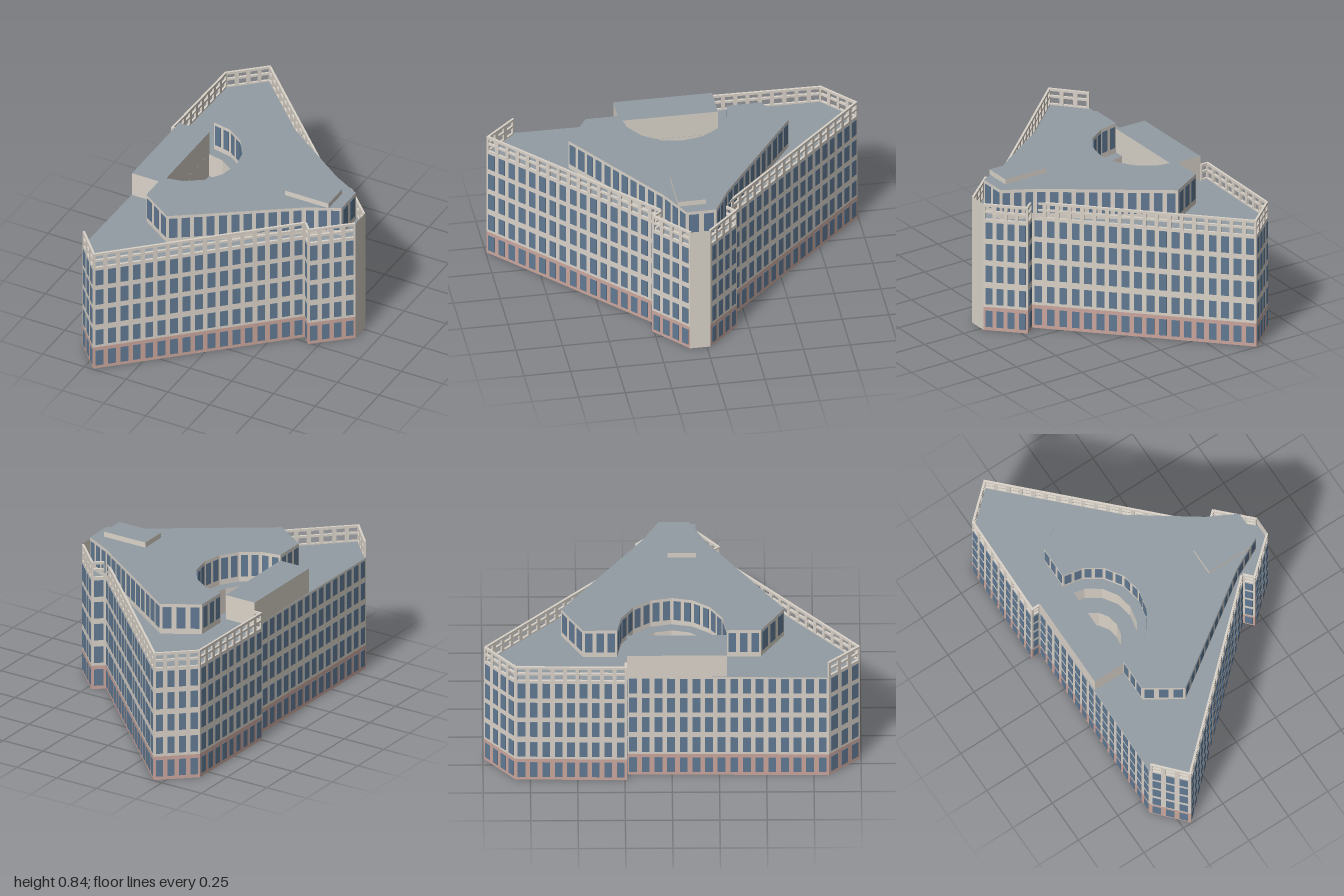
import * as THREE from 'three';
import { mergeGeometries } from 'three/addons/utils/BufferGeometryUtils.js';

const mat = (name, color, side = THREE.FrontSide) => {
  const m = new THREE.MeshStandardMaterial({ color, side });
  m.name = name;
  return m;
};

const ROOF = 0.64, PARAPET = 0.735, BAND = 0.135, BAY = 0.067;
const FLOORS = [0.02, 0.152, 0.283, 0.41, 0.535];

// Outlines as [x, z], walked so that each wall faces outward
const FOOTPRINT = [
  [-0.6, 0.83], [-0.45, 0.995], [0.4, 0.21], [0.445, 0.26], [0.64, 0.09], [0.64, -0.02],
  [0.47, -0.19], [0.41, -0.14], [-0.445, -0.995], [-0.63, -0.83], [-0.64, -0.24], [-0.59, -0.24],
];
const TIP = 4, BACK = 11;

// Half circle of the courtyard, from its back end to its front end
const arc = (r) => Array.from({ length: 9 }, (_, i) => {
  const a = -Math.PI / 2 + (i * Math.PI) / 8;
  return [-0.41 + r * Math.cos(a), r * Math.sin(a)];
});

const PENTHOUSE = [
  [-0.41, 0.47], [-0.22, 0.595], [0.38, 0.185], [0.56, 0.095], [0.56, -0.065],
  [0.4, -0.15], [-0.22, -0.585], [-0.41, -0.47], ...arc(0.29),
];

export function createModel() {
  const cream = mat('cream stone', 0xdad3c9, THREE.DoubleSide);
  const pink = mat('pink stone', 0xcba79d, THREE.DoubleSide);
  const glass = mat('blue glass', 0x627a94);
  const grey = mat('grey roof', 0x929ca4, THREE.DoubleSide);

  const model = new THREE.Group();
  model.name = 'officeBuilding';

  const add = (parent, name, geometry, material) => {
    const mesh = new THREE.Mesh(geometry, material);
    mesh.name = name;
    parent.add(mesh);
    return mesh;
  };

  // Upright frame on an edge: local x runs from a to b, local z points outward
  const edgeFrame = (name, a, b) => {
    const frame = new THREE.Group();
    frame.name = name;
    frame.position.set(a[0], 0, a[1]);
    frame.rotation.y = Math.atan2(a[1] - b[1], b[0] - a[0]);
    model.add(frame);
    return frame;
  };
  const length = (a, b) => Math.hypot(b[0] - a[0], b[1] - a[1]);
  const panel = (len, y0, y1) =>
    new THREE.PlaneGeometry(len, y1 - y0).translate(len / 2, (y0 + y1) / 2, 0);

  // Rows of thin window plates, evenly spaced in bays
  const windows = (len, sills, height, ratio = 0.62) => {
    const count = Math.max(1, Math.round(len / BAY)), bay = len / count, plates = [];
    for (const y of sills)
      for (let i = 0; i < count; i++)
        plates.push(new THREE.BoxGeometry(bay * ratio, height, 0.004)
          .translate((i + 0.5) * bay, y + height / 2, 0.001));
    return mergeGeometries(plates);
  };

  // Open railing with two rows of holes
  const railing = (len) => {
    const count = Math.max(1, Math.round(len / BAY)), bay = len / count;
    const rect = (T, x0, y0, x1, y1) => {
      const s = new T();
      s.moveTo(x0, y0).lineTo(x1, y0).lineTo(x1, y1).lineTo(x0, y1).closePath();
      return s;
    };
    const shape = rect(THREE.Shape, 0, ROOF, len, PARAPET);
    for (let i = 0; i < count; i++)
      for (const [y0, y1] of [[0.648, 0.683], [0.695, 0.721]])
        shape.holes.push(rect(THREE.Path, (i + 0.16) * bay, y0, (i + 0.84) * bay, y1));
    return new THREE.ExtrudeGeometry(shape, { depth: 0.012, bevelEnabled: false })
      .translate(0, 0, -0.012);
  };

  // Flat slab from an outline, with an optional hole
  const flat = (name, outline, y, hole) => {
    const points = (list) => list.map(([x, z]) => new THREE.Vector2(x, -z));
    const shape = new THREE.Shape(points(outline));
    if (hole) shape.holes.push(new THREE.Path(points(hole)));
    add(model, name, new THREE.ShapeGeometry(shape).rotateX(-Math.PI / 2).translate(0, y, 0), grey);
  };

  const edges = (outline, fn) =>
    outline.forEach((a, i) => fn(a, outline[(i + 1) % outline.length], i));

  // Main facades
  edges(FOOTPRINT, (a, b, i) => {
    const len = length(a, b), frame = edgeFrame('facade', a, b);
    if (i === TIP) {
      add(frame, 'blankTipWall', panel(len, 0, PARAPET), cream);
      return;
    }
    add(frame, 'groundFloorWall', panel(len, 0, BAND), pink);
    add(frame, 'upperWall', panel(len, BAND, ROOF), cream);
    add(frame, 'windows', windows(len, FLOORS, 0.094), glass);
    if (i !== BACK) add(frame, 'roofRailing', railing(len), cream);
  });
  flat('mainRoof', FOOTPRINT, ROOF, arc(0.235));

  // Penthouse with a curved recess
  edges(PENTHOUSE, (a, b) => {
    const len = length(a, b), frame = edgeFrame('penthouseSide', a, b);
    add(frame, 'penthouseWall', panel(len, ROOF, 0.812), cream);
    add(frame, 'penthouseWindows', windows(len, [0.672], 0.122, 0.66), glass);
  });
  flat('penthouseRoof', PENTHOUSE, 0.812);

  // Sunken half-round courtyard in two steps
  for (const [r, y0, y1] of [[0.235, 0.5, ROOF], [0.15, 0.3, 0.5]])
    edges(arc(r), (a, b) =>
      add(edgeFrame('courtyardSide', a, b), 'courtyardWall', panel(length(a, b), y0, y1), cream));
  flat('courtyardLedge', arc(0.235), 0.5, arc(0.149));
  flat('courtyardFloor', arc(0.15), 0.3);

  // Plain rooftop blocks with grey lids
  const block = (name, x0, x1, y0, y1, z0, z1) => {
    const side = [cream, cream, grey, cream, cream, cream];
    add(model, name, new THREE.BoxGeometry(x1 - x0, y1 - y0, z1 - z0), side)
      .position.set((x0 + x1) / 2, (y0 + y1) / 2, (z0 + z1) / 2);
  };
  block('rearBlock', -0.592, -0.41, ROOF + 0.001, 0.78, -0.24, 0.29);
  block('roofHatch', 0.24, 0.5, 0.813, 0.842, -0.02, 0.13);

  return model;
}
